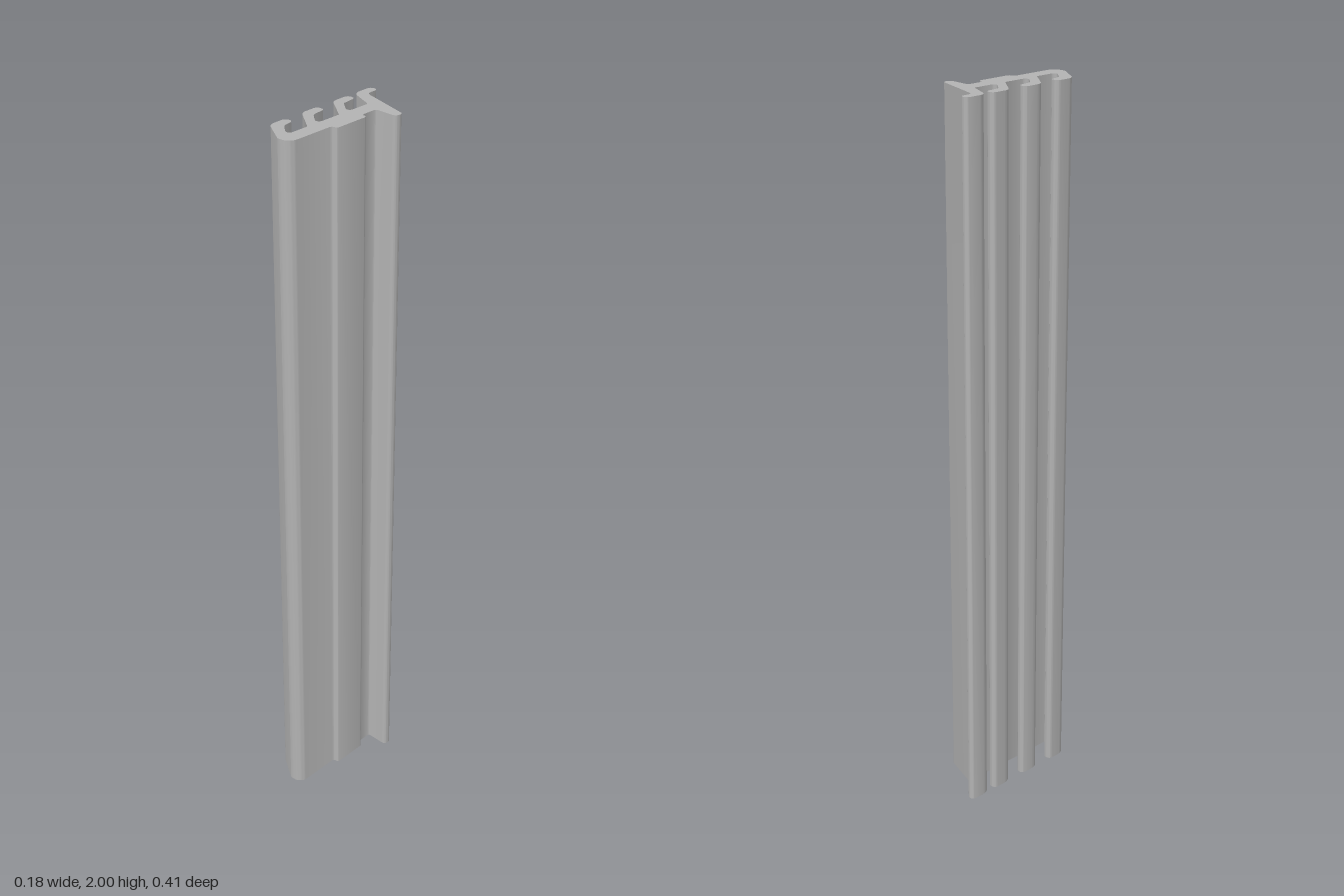
import * as THREE from 'three';
import { toCreasedNormals } from 'three/addons/utils/BufferGeometryUtils.js';

const HEIGHT = 2;

// Closed outline from [x, z, radius] corners, each rounded by a true arc
function roundedOutline(corners, steps = 8) {
  const points = [];
  const origin = new THREE.Vector2();
  const n = corners.length;
  corners.forEach(([x, z, r], i) => {
    const p = new THREE.Vector2(x, -z);
    const toward = ([cx, cz]) => new THREE.Vector2(cx, -cz).sub(p).normalize();
    const a = toward(corners[(i + n - 1) % n]);
    const b = toward(corners[(i + 1) % n]);
    const half = Math.acos(a.dot(b)) / 2;
    const centre = a.clone().add(b).normalize().multiplyScalar(r / Math.sin(half)).add(p);
    const start = a.clone().multiplyScalar(r / Math.tan(half)).add(p).sub(centre);
    const turn = Math.sign(b.cross(a)) * (Math.PI - 2 * half);
    for (let k = 0; k <= steps; k++) {
      points.push(start.clone().rotateAround(origin, turn * k / steps).add(centre));
    }
  });
  return new THREE.Shape(points);
}

// Groove and upturned hook: floor = depth of the groove, tip = end of the hook
function hook(floor, tip, bend) {
  return [
    [-0.016, floor, 0.01],
    [-0.061, floor - 0.037, bend],
    [-0.066, tip, 0.0115],
    [-0.091, tip, 0.0122],
    [-0.091, tip + 0.054, 0.03],
  ];
}

export function createModel() {
  const group = new THREE.Group();
  group.name = 'extrudedStrip';
  const grey = new THREE.MeshStandardMaterial({ color: 0xb2b2b2 });
  grey.name = 'grey';

  const corners = [
    // back fin, upturned end
    [-0.066, -0.204, 0.0122],
    [-0.091, -0.204, 0.0122],
    [-0.091, -0.144, 0.028],
    [-0.016, -0.112, 0.008],
    // three hooks along the spine
    ...hook(-0.037, -0.12, 0.012),
    [-0.016, -0.01, 0.006],
    ...hook(0.07, -0.011, 0.03),
    [-0.016, 0.099, 0.006],
    ...hook(0.17, 0.098, 0.03),
    // rounded front end of the spine
    [-0.014, 0.201, 0.012],
    [0.025, 0.201, 0.028],
    // raised pad on the side
    [0.025, 0.058, 0.008],
    [0.042, 0.058, 0.008],
    [0.042, -0.047, 0.008],
    [0.025, -0.047, 0.008],
    // back fin, sloping lip
    [0.025, -0.097, 0.007],
    [0.091, -0.097, 0.012],
    [0.091, -0.121, 0.012],
    [-0.066, -0.165, 0.016],
  ];

  const geometry = new THREE.ExtrudeGeometry(roundedOutline(corners), {
    depth: HEIGHT, bevelEnabled: false, steps: 1,
  });
  geometry.rotateX(-Math.PI / 2);
  const profile = new THREE.Mesh(toCreasedNormals(geometry, Math.PI / 6), grey);
  profile.name = 'hookedProfile';
  group.add(profile);
  return group;
}
